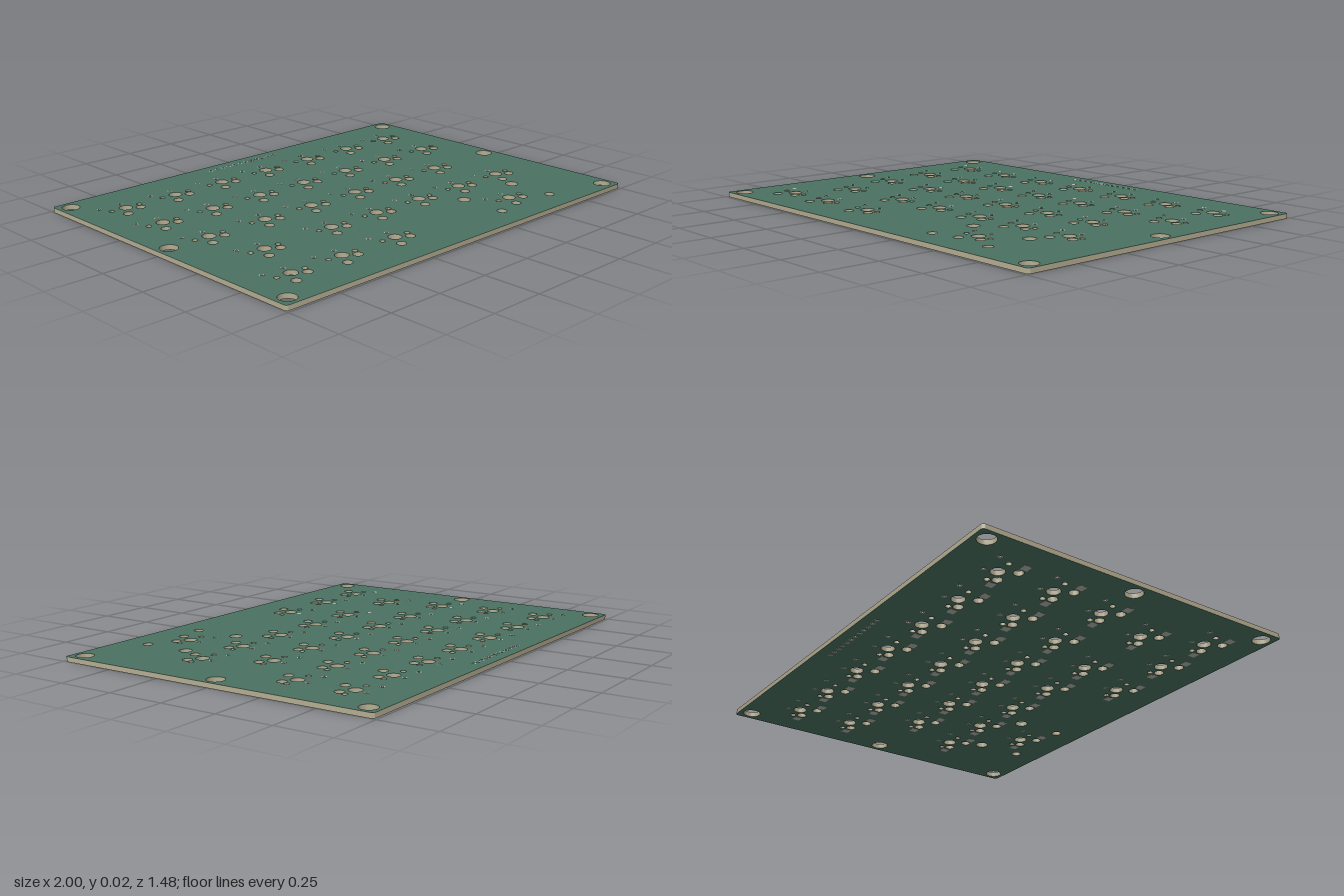
import * as THREE from 'three';
import { mergeGeometries, toCreasedNormals } from 'three/addons/utils/BufferGeometryUtils.js';

const U = 0.2604;          // key pitch
const T = 0.022;           // overall thickness
const SKIN = 0.0004;       // height of the metal pads above the board
const W = 1, D = 0.741;    // half width and half depth

// Key columns of each row, in key pitches from the centre
const ROWS = [
  [-3, -2, -1, 0, 1, 2, 3],
  [-3, -2, -1, 0, 1, 2, 3],
  [-2.875, -1.75, -0.75, 0.25, 1.25, 2.25],
  [-2.625, -1.25, -0.25, 0.75, 1.75, 2.75],
  [-3, -2, -0.875, 1.875],
];
// Holes of one switch: x, z, radius
const SWITCH_HOLES = [
  [0, 0, 0.0285], [-0.0695, 0, 0.012], [0.0695, 0, 0.012],
  [-0.036, 0.0695, 0.0205], [0.052, 0.035, 0.0205],
];
const DIODE_HOLES = [[-0.0935, -0.056], [0.011, -0.056]];
const SOCKET_PADS = [[-0.08, 0.0695], [0.097, 0.035]];

const circle = (x, z, r, Type = THREE.Path) => new Type().absarc(x, z, r, 0, Math.PI * 2, false);

// Extrudes a plan drawn in x,z between two heights
function slab(shape, bottom, top, segments) {
  return new THREE.ExtrudeGeometry(shape, { depth: top - bottom, bevelEnabled: false, curveSegments: segments })
    .rotateX(Math.PI / 2).translate(0, top, 0);
}

function roundedPlan(w, d, r) {
  const s = new THREE.Shape();
  s.absarc(w - r, d - r, r, 0, Math.PI / 2, false);
  s.absarc(-w + r, d - r, r, Math.PI / 2, Math.PI, false);
  s.absarc(-w + r, -d + r, r, Math.PI, Math.PI * 1.5, false);
  s.absarc(w - r, -d + r, r, Math.PI * 1.5, Math.PI * 2, false);
  s.closePath();
  return s;
}

export function createModel() {
  const model = new THREE.Group();
  model.name = 'keyboardCircuitBoard';
  const green = new THREE.MeshStandardMaterial({ color: 0x4a7262 });
  const tan = new THREE.MeshStandardMaterial({ color: 0xb5ad92 });
  const metal = new THREE.MeshStandardMaterial({ color: 0xb4b4ae });

  const holes = [];   // x, z, radius
  const pins = [];    // plated pin holes
  const pads = [];    // solder pads under the board

  // Switch footprints
  ROWS.forEach((row, i) => row.forEach((column) => {
    const x = column * U, z = (i - 2) * U;
    SWITCH_HOLES.forEach(([dx, dz, r]) => holes.push([x + dx, z + dz, r]));
    DIODE_HOLES.forEach(([dx, dz]) => pins.push([x + dx, z + dz]));
    SOCKET_PADS.forEach(([dx, dz]) => pads.push([x + dx, z + dz]));
  }));

  // Stabiliser holes around the wide key, and mounting holes
  for (const side of [-1, 1]) {
    const x = 1.875 * U + side * 0.163;
    holes.push([x, 0.406, 0.0275], [x, 0.615, 0.021]);
    for (const z of [-0.685, 0, 0.685]) holes.push([side * 0.945, z, 0.0375]);
  }

  // Header pins along the back edge
  for (let i = 0; i < 12; i++) pins.push([(i - 5.5) * 0.0347, -0.685]);

  // Board: green faces, tan cut edges
  const plan = roundedPlan(W, D, 0.014);
  holes.forEach(([x, z, r]) => plan.holes.push(circle(x, z, r)));
  pins.forEach(([x, z]) => plan.holes.push(circle(x, z, 0.008)));
  const board = new THREE.Mesh(toCreasedNormals(slab(plan, SKIN, T - SKIN, 14), 0.7), [green, tan]);
  board.name = 'board';
  model.add(board);

  // Plated rings lining the pin holes
  const ringPlan = circle(0, 0, 0.0105, THREE.Shape);
  ringPlan.holes.push(circle(0, 0, 0.0055));
  const ring = toCreasedNormals(slab(ringPlan, 0, T, 8), 0.9);
  const rings = new THREE.Mesh(mergeGeometries(pins.map(([x, z]) => ring.clone().translate(x, 0, z))), metal);
  rings.name = 'pinHoleRings';
  model.add(rings);

  // Socket pads on the underside
  const pad = new THREE.BoxGeometry(0.034, SKIN, 0.034).translate(0, SKIN / 2, 0);
  const socketPads = new THREE.Mesh(mergeGeometries(pads.map(([x, z]) => pad.clone().translate(x, 0, z))), metal);
  socketPads.name = 'socketPads';
  model.add(socketPads);

  return model;
}
